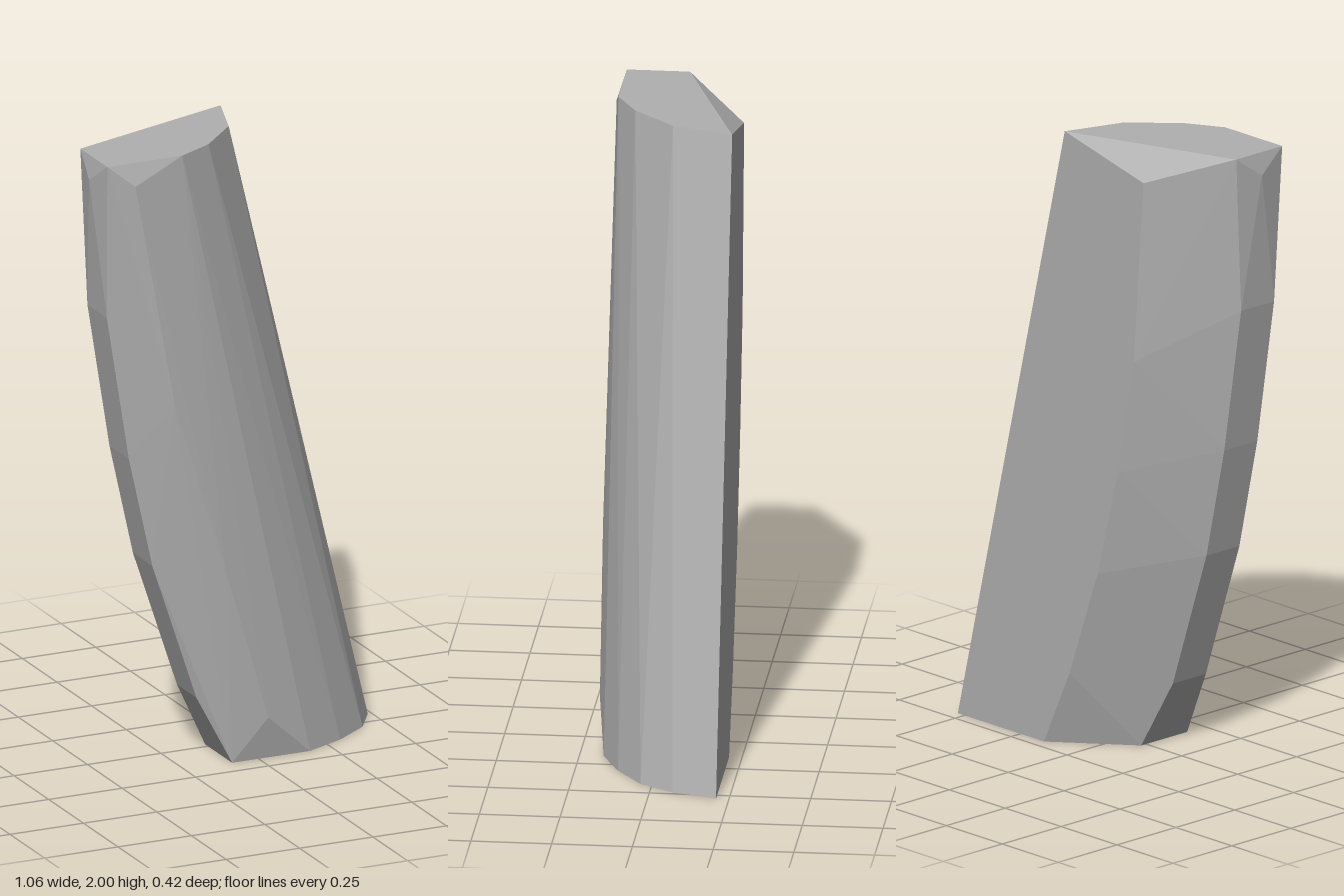
import * as THREE from 'three';
import { ConvexGeometry } from 'three/addons/geometries/ConvexGeometry.js';

export function createModel() {
  const group = new THREE.Group();
  group.name = 'leaningStone';
  const stone = new THREE.MeshStandardMaterial({ color: 0xb0b0b0 });
  stone.name = 'stone grey';

  const points = [];
  const add = (x, y, z) => points.push(new THREE.Vector3(x, y, z));

  // flat bottom and top outlines (x, z), joined by straight facets on the leaning side
  const bottom = [[0.145, -0.21], [-0.09, -0.02], [-0.09, 0.175], [0.175, 0.175],
    [0.305, 0.117], [0.42, 0.035], [0.487, -0.07], [0.53, -0.21]];
  const top = [[-0.515, -0.02], [-0.515, 0.175], [-0.26, 0.175],
    [-0.14, 0.11], [-0.01, -0.02], [0.052, -0.21]];
  bottom.forEach(([x, z]) => add(x, 0, z));
  top.forEach(([x, z]) => add(x, 2, z));

  // bowed side: two ridges
  [[0.22, -0.2], [0.67, -0.35], [1.03, -0.43], [1.5, -0.505]].forEach(([y, x]) => {
    add(x, y, 0.01);
    add(x, y, 0.15);
  });
  add(-0.53, 1.93, 0.075);

  // curved edge of the flat back, ending in the chipped top corner
  [[0.25, 0.03], [0.6, -0.095], [0.95, -0.185], [1.325, -0.257], [1.915, -0.3]]
    .forEach(([y, x]) => add(x, y, -0.21));

  // shallow swell of the front face
  add(-0.43, 1.93, 0.198);
  add(-0.3, 1.2, 0.208);
  add(-0.13, 0.65, 0.209);
  add(0.02, 0.14, 0.203);

  const mesh = new THREE.Mesh(new ConvexGeometry(points), stone);
  mesh.name = 'stoneBody';
  group.add(mesh);
  return group;
}
